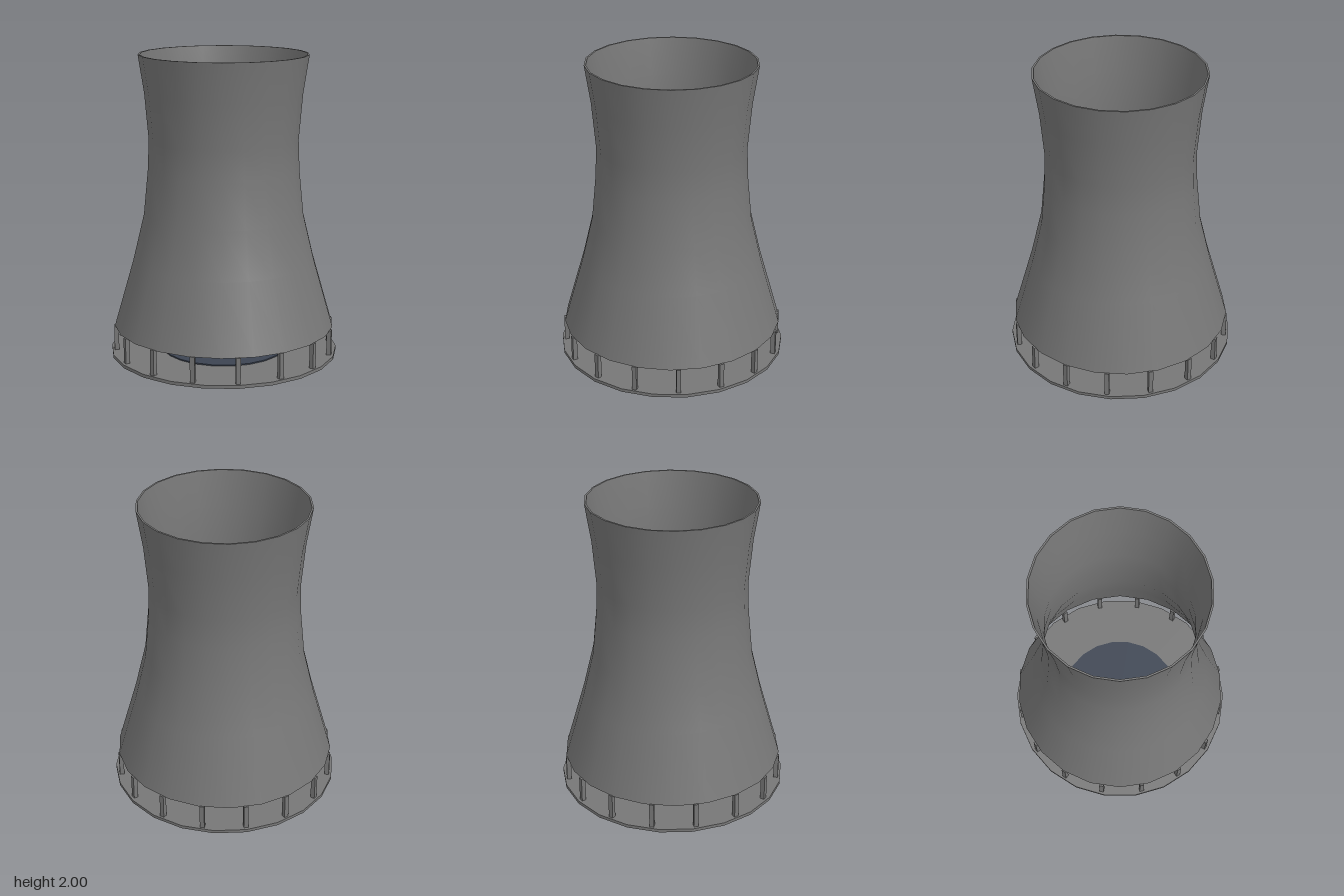
import * as THREE from 'three';

const SIDES = 22;
const concrete = new THREE.MeshStandardMaterial({ color: 0x777777 });
concrete.name = 'concrete grey';
const waterBlue = new THREE.MeshStandardMaterial({ color: 0x3c4452 });
waterBlue.name = 'dark water blue';

function add(parent, name, geometry, material) {
  const mesh = new THREE.Mesh(geometry, material);
  mesh.name = name;
  parent.add(mesh);
  return mesh;
}

// Surface of revolution with its first corner on the x axis
const revolve = (points) => new THREE.LatheGeometry(
  points.map(([r, y]) => new THREE.Vector2(r, y)), SIDES, Math.PI / 2);

export function createModel() {
  const model = new THREE.Group();
  model.name = 'coolingTower';

  // Ground slab and the round basin on it
  const slab = add(model, 'baseSlab', new THREE.CylinderGeometry(0.76, 0.76, 0.022, SIDES), concrete);
  slab.position.y = 0.011;
  const water = add(model, 'waterBasin', new THREE.CylinderGeometry(0.42, 0.42, 0.008, SIDES), waterBlue);
  water.position.y = 0.026;

  // Ring of square support columns
  const columns = new THREE.Group();
  columns.name = 'supportColumns';
  model.add(columns);
  const columnGeometry = new THREE.BoxGeometry(0.03, 0.17, 0.03);
  for (let i = 0; i < 16; i++) {
    const a = (i / 16) * Math.PI * 2;
    const column = add(columns, 'column', columnGeometry, concrete);
    column.position.set(0.725 * Math.sin(a), 0.107, 0.725 * Math.cos(a));
    column.rotation.y = a;
  }

  // Waisted shell: outer wall, inner wall and the two rims between them
  const shell = new THREE.Group();
  shell.name = 'shell';
  model.add(shell);
  const wall = 0.012;
  const outer = [[0.735, 0.19], [0.605, 0.64], [0.53, 0.95], [0.5, 1.25],
    [0.492, 1.45], [0.517, 1.75], [0.555, 2]];
  const inner = outer.map(([r, y]) => [r - wall, y]).reverse();
  add(shell, 'outerWall', revolve(outer), concrete);
  add(shell, 'innerWall', revolve(inner), concrete);
  add(shell, 'topRim', revolve([outer.at(-1), inner[0]]), concrete);
  add(shell, 'bottomRim', revolve([inner.at(-1), outer[0]]), concrete);

  return model;
}
